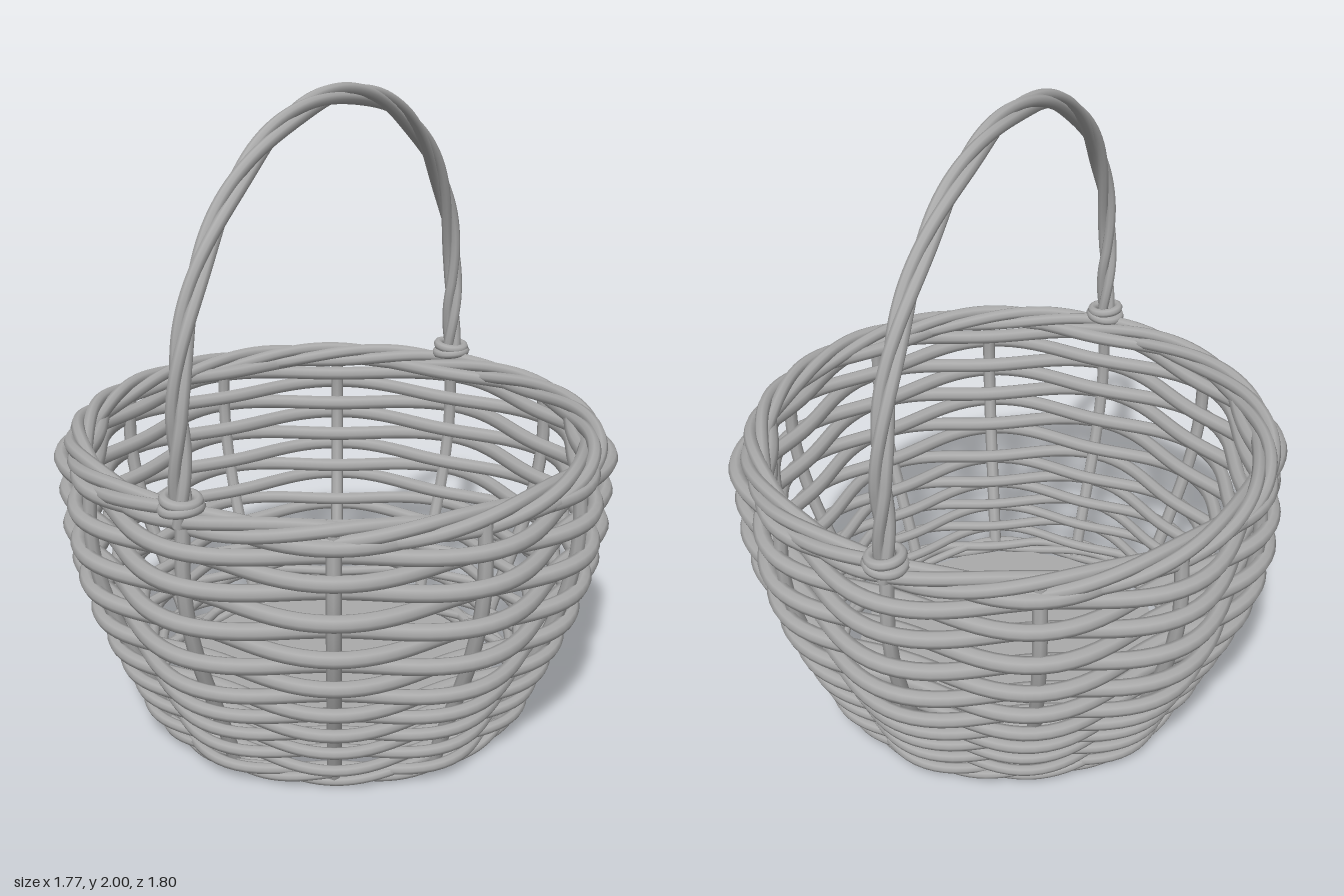
import * as THREE from 'three';

const STAKES = 12;

// Curve given by a rule from t in 0..1 to a point
class RuleCurve extends THREE.Curve {
  constructor(rule) {
    super();
    this.rule = rule;
    this.arcLengthDivisions = 400;
  }
  getPoint(t, target = new THREE.Vector3()) {
    return target.copy(this.rule(t));
  }
}

// Weaver rows: height, outermost reach, rod radius
const ROWS = [
  [0.045, 0.665, 0.017], [0.08, 0.675, 0.017], [0.12, 0.695, 0.018], [0.158, 0.705, 0.018],
  [0.2, 0.73, 0.019], [0.24, 0.745, 0.02], [0.28, 0.77, 0.021], [0.33, 0.785, 0.022],
  [0.37, 0.815, 0.023], [0.44, 0.83, 0.024], [0.49, 0.862, 0.025], [0.55, 0.862, 0.025],
  [0.61, 0.885, 0.026], [0.67, 0.882, 0.026], [0.73, 0.89, 0.026], [0.79, 0.885, 0.025],
  [0.842, 0.9, 0.025], [0.887, 0.87, 0.024],
];

export function createModel() {
  const group = new THREE.Group();
  const wicker = new THREE.MeshStandardMaterial({ color: 0xaaaaaa });
  wicker.name = 'wicker grey';

  const add = (name, geometry, parent = group) => {
    const mesh = new THREE.Mesh(geometry, wicker);
    mesh.name = name;
    parent.add(mesh);
    return mesh;
  };
  const section = (name) => {
    const part = new THREE.Group();
    part.name = name;
    group.add(part);
    return part;
  };
  const rod = (name, rule, segments, radius, closed, parent) =>
    add(name, new THREE.TubeGeometry(new RuleCurve(rule), segments, radius, 8, closed), parent);

  // Ring of strands twisted around a horizontal circle
  const twistedRing = (name, R, y, strands, turns, offset, radius) => {
    const ring = section(name);
    for (let s = 0; s < strands; s++) {
      rod(name + 'Strand', (t) => {
        const a = t * Math.PI * 2;
        const b = a * turns + (s / strands) * Math.PI * 2;
        const r = R + offset * Math.cos(b);
        return new THREE.Vector3(r * Math.sin(a), y + offset * Math.sin(b), r * Math.cos(a));
      }, 144, radius, true, ring);
    }
  };

  // Floor
  const floor = add('floor', new THREE.CylinderGeometry(0.53, 0.53, 0.016, 24));
  floor.position.y = 0.045;

  // Horizontal weavers, passing in front of and behind alternate stakes
  const weave = section('weavers');
  ROWS.forEach(([y, reach, radius], i) => {
    const swing = radius + 0.018;
    const R = reach - radius - swing;
    const side = i % 2 === 0 ? 1 : -1;
    rod('weaver', (t) => {
      const a = t * Math.PI * 2;
      const r = R + side * swing * Math.cos((a * STAKES) / 2);
      return new THREE.Vector3(r * Math.sin(a), y, r * Math.cos(a));
    }, 120, radius, true, weave);
  });

  // Upright stakes following the bowl
  const stakes = section('stakes');
  const profile = [[0.6, 0.02], [0.645, 0.14], [0.705, 0.28], [0.775, 0.45],
    [0.82, 0.61], [0.835, 0.75], [0.825, 0.92]];
  const stakeCurve = new THREE.CatmullRomCurve3(profile.map(([r, y]) => new THREE.Vector3(0, y, r)));
  const stakeGeometry = new THREE.TubeGeometry(stakeCurve, 20, 0.022, 8);
  for (let i = 0; i < STAKES; i++) {
    add('stake', stakeGeometry, stakes).rotation.y = (i / STAKES) * Math.PI * 2;
  }

  // Twisted borders
  twistedRing('foot', 0.605, 0.031, 3, 6, 0.017, 0.015);
  twistedRing('rim', 0.81, 0.91, 4, 5, 0.025, 0.021);

  // Arched handle of three twisted strands
  const handle = section('handle');
  const a = 0.83, base = 0.9, spring = 1.2, rise = 0.765;
  const leg = 0.13;
  const arch = (t) => {
    if (t < leg) return [a, base + (t / leg) * (spring - base), 1, 0];
    if (t > 1 - leg) return [-a, base + ((1 - t) / leg) * (spring - base), -1, 0];
    const u = ((t - leg) / (1 - 2 * leg)) * Math.PI;
    return [a * Math.cos(u), spring + rise * Math.sin(u), Math.cos(u), Math.sin(u)];
  };
  for (let s = 0; s < 3; s++) {
    rod('handleStrand', (t) => {
      const [z, y, nz, ny] = arch(t);
      const b = t * Math.PI * 2 * 4 + (s / 3) * Math.PI * 2;
      const out = 0.017 * Math.cos(b);
      return new THREE.Vector3(0.016 * Math.sin(b), y + ny * out, z + nz * out);
    }, 120, 0.018, false, handle);
  }

  // Wrapped collars where the handle meets the rim
  for (const side of [1, -1]) {
    const collar = section(side > 0 ? 'frontCollar' : 'backCollar');
    collar.position.set(0, 0.963, side * 0.83);
    [[0.052, -0.011, 0.1], [0.047, 0.012, -0.12]].forEach(([R, y, tilt]) => {
      const wrap = add('collarWrap', new THREE.TorusGeometry(R, 0.016, 8, 28), collar);
      wrap.position.y = y;
      wrap.rotation.set(Math.PI / 2, tilt, 0);
    });
  }
  return group;
}
